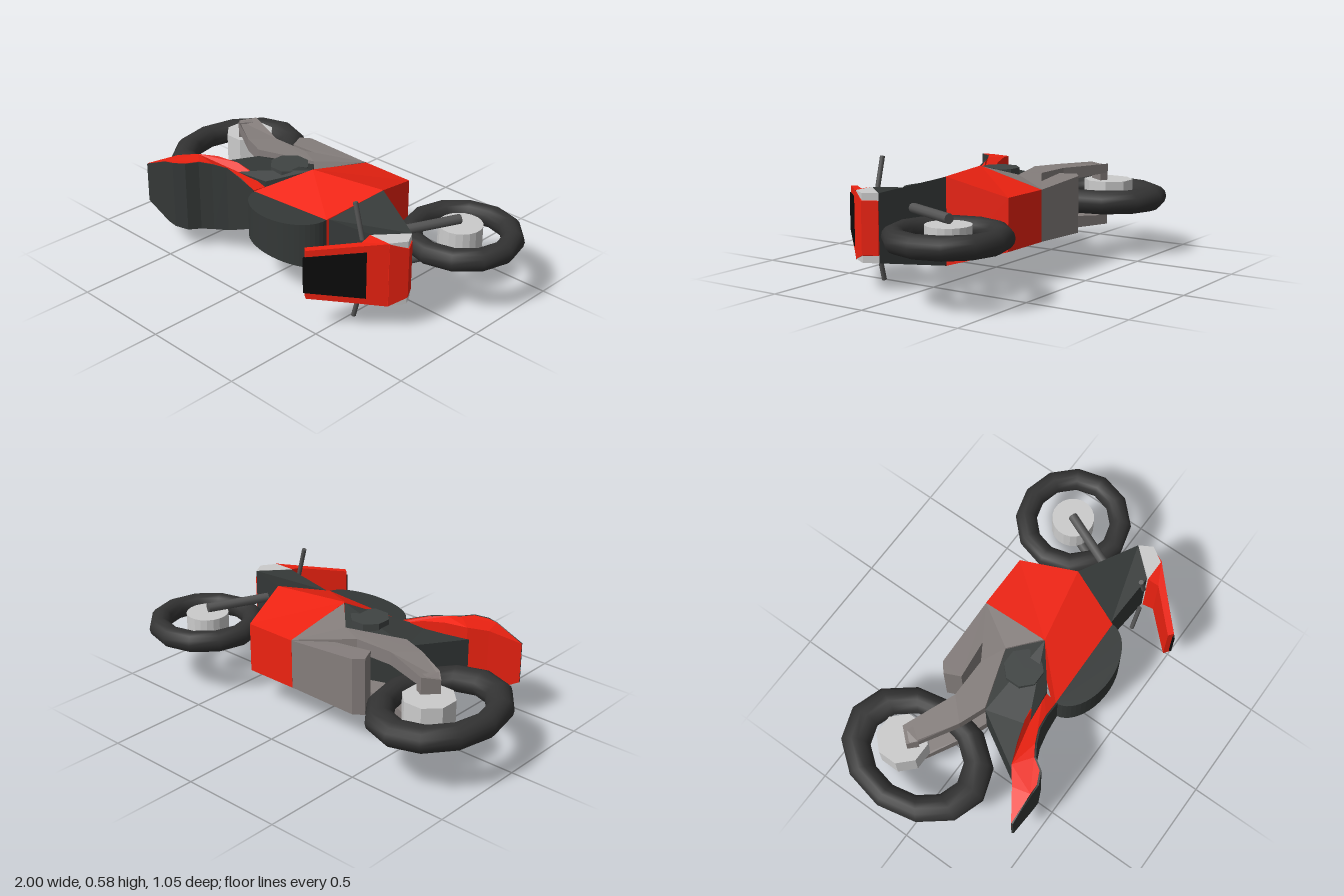
import * as THREE from 'three';

const MID = 0.29; // height of the bike's centre plane as it lies on its side
const mat = (color, flat = true) =>
  new THREE.MeshStandardMaterial({ color, flatShading: flat, side: THREE.DoubleSide });
const RED = mat(0xee2211), DARK = mat(0x343837), BLACK = mat(0x0c0c0c), PALE = mat(0xcccccc);
const METAL = mat(0x857e7c), ROD = mat(0x555555, false), TYRE = mat(0x333333, false), CAP = mat(0x404443);

export function createModel() {
  const model = new THREE.Group();
  model.name = 'motorbike';

  const add = (name, geometry, material) => {
    const mesh = new THREE.Mesh(geometry, material);
    mesh.name = name;
    model.add(mesh);
    return mesh;
  };

  // Slab from an outline of [x, z, top, bottom]; bottom mirrors top unless given
  const slab = (name, outline, material) => {
    let pts = outline.map(([x, z, t, b = -t]) => [x, z, t, b]);
    const flat = p => new THREE.Vector2(p[0], -p[1]);
    if (THREE.ShapeUtils.isClockWise(pts.map(flat))) pts = pts.reverse();
    const n = pts.length, pos = [], index = [];
    for (const p of pts) pos.push(p[0], MID + p[2], p[1]);
    for (const p of pts) pos.push(p[0], MID + p[3], p[1]);
    for (const [a, b, c] of THREE.ShapeUtils.triangulateShape(pts.map(flat), []))
      index.push(a, b, c, n + a, n + c, n + b);
    for (let i = 0; i < n; i++) {
      const j = (i + 1) % n;
      index.push(n + i, n + j, j, n + i, j, i);
    }
    let g = new THREE.BufferGeometry();
    g.setAttribute('position', new THREE.Float32BufferAttribute(pos, 3));
    g.setIndex(index);
    g = g.toNonIndexed();
    g.computeVertexNormals();
    return add(name, g, material);
  };

  // The same slab on both sides of the bike
  const slabPair = (name, outline, material) => {
    slab(name + 'Upper', outline, material);
    slab(name + 'Lower', outline.map(([x, z, t, b]) => [x, z, -b, -t]), material);
  };

  const rod = (name, a, b, radius) => {
    const from = new THREE.Vector3(...a), to = new THREE.Vector3(...b);
    const dir = to.clone().sub(from);
    const mesh = add(name, new THREE.CylinderGeometry(radius, radius, dir.length(), 10), ROD);
    mesh.position.copy(from).add(to).multiplyScalar(0.5);
    mesh.quaternion.setFromUnitVectors(new THREE.Vector3(0, 1, 0), dir.normalize());
  };

  const disc = (name, x, y, z, radius, height, sides, material) => {
    const mesh = add(name, new THREE.CylinderGeometry(radius, radius, height, sides), material);
    mesh.position.set(x, y, z);
    mesh.rotation.y = Math.PI / sides;
  };

  const tyre = (name, x, y, z, ring, tube, stretch) => {
    const g = new THREE.TorusGeometry(ring, tube, 14, 12).rotateX(Math.PI / 2).scale(1, 1, stretch);
    add(name, g, TYRE).position.set(x, y, z);
  };

  // Wheels and hubs
  tyre('rearTyre', -0.697, 0.275, -0.14, 0.244, 0.059, 1.27);
  disc('rearHub', -0.695, 0.29, -0.22, 0.123, 0.144, 8, PALE);
  tyre('frontTyre', 0.707, 0.29, -0.237, 0.235, 0.053, 1);
  disc('frontHub', 0.7, 0.29, -0.235, 0.104, 0.11, 20, PALE);

  // Fork legs and handlebars
  for (const s of [1, -1]) {
    rod('forkLeg', [0.695, MID + s * 0.078, -0.235], [0.55, MID + s * 0.078, 0.1], 0.023);
    rod('handlebar', [0.56, MID + s * 0.12, 0.273], [0.515, MID + s * 0.288, 0.273], 0.0115);
  }

  // Main red body, with a ridge halfway up the flank
  const ridgeBack = [0.045, 0.06, 0.205], ridgeFront = [0.42, -0.015, 0.205];
  const tankFront = [0.325, 0.255, 0.12], tankBack = [-0.145, 0.26, 0.095];
  slab('lowerBody', [[0.06, -0.295, 0.123], [0.335, -0.295, 0.123], ridgeFront, ridgeBack], RED);
  slab('upperBodyFront', [ridgeBack, ridgeFront, tankFront], RED);
  slab('upperBodyBack', [ridgeBack, tankFront, tankBack], RED);

  // Domed tank
  const dome = [];
  for (let i = 0; i <= 24; i++) {
    const a = Math.PI * i / 24, c = Math.cos(a), s = Math.sin(a);
    dome.push([0.09 + 0.235 * c, 0.255 + 0.145 * s, 0.107 + 0.012 * c - 0.012 * s]);
  }
  slab('tank', dome, DARK);

  // Mid frame with round covers
  slab('frame', [[0.045, 0.06, 0.2], [-0.08, -0.08, 0.14], [-0.37, 0.02, 0.12], [-0.53, 0.29, 0.11],
    [-0.315, 0.225, 0.13], [-0.13, 0.2, 0.13]], DARK);
  slab('frameCore', [[0.08, -0.25, 0.08], [0.08, 0.05, 0.1], [-0.1, 0.05, 0.1], [-0.1, -0.1, 0.08]], DARK);
  disc('engineCover', -0.115, MID, 0.055, 0.095, 0.36, 8, CAP);

  // Belly box
  slab('bellyBox', [[-0.345, -0.24, 0.143], [-0.3, -0.278, 0.14], [0.07, -0.295, 0.122],
    [0.07, -0.2, 0.122], [-0.08, -0.19, 0.13], [-0.31, -0.162, 0.143]], METAL);

  // Swing arms, each with an end block reaching in to the hub
  slabPair('swingArmRoot', [[0.06, -0.293, 0.126, 0.06], [0.047, 0.055, 0.203, 0.08],
    [-0.08, -0.075, 0.157, 0.09], [-0.2, -0.13, 0.155, 0.09]], METAL);
  slabPair('swingArm', [[-0.08, -0.075, 0.157, 0.09], [-0.2, -0.13, 0.155, 0.09],
    [-0.4, -0.13, 0.155, 0.09], [-0.66, -0.235, 0.155, 0.11], [-0.72, -0.17, 0.14, 0.11],
    [-0.68, -0.13, 0.155, 0.11], [-0.5, -0.03, 0.155, 0.09], [-0.37, 0.02, 0.155, 0.09]], METAL);
  slabPair('swingArmEnd', [[-0.66, -0.235, 0.15, 0.06], [-0.72, -0.17, 0.135, 0.06],
    [-0.68, -0.13, 0.15, 0.06], [-0.62, -0.215, 0.15, 0.06]], METAL);

  // Tail cowl in red, with a dark seat strip along its upper edge
  const seatLine = [[-0.728, 0.428, 0.1], [-0.58, 0.428, 0.163], [-0.53, 0.428, 0.17], [-0.47, 0.4, 0.178],
    [-0.435, 0.345, 0.18], [-0.38, 0.31, 0.176], [-0.31, 0.279, 0.167], [-0.23, 0.265, 0.137], [-0.145, 0.261, 0.1]];
  slab('tailCowl', [...seatLine, [-0.13, 0.18, 0.1], [-0.23, 0.185, 0.137], [-0.315, 0.205, 0.167],
    [-0.42, 0.24, 0.178], [-0.52, 0.28, 0.17], [-0.6, 0.34, 0.157]], RED);
  slab('seat', [...seatLine.map(([x, z, h]) => [x + 0.004, z + 0.008, h]),
    ...seatLine.map(([x, z, h]) => [x, z - 0.001, h - 0.002]).reverse()], DARK);

  // Front fairing, lamps and nose
  slab('frontFairing', [ridgeFront, [0.72, 0.13, 0.157], [0.6, 0.262, 0.157], [0.33, 0.245, 0.12]], DARK);
  slab('headlamps', [[0.72, 0.13, 0.157], [0.757, 0.195, 0.157], [0.71, 0.268, 0.157], [0.6, 0.268, 0.157]], PALE);
  slab('nosePanel', [[0.715, 0.13, 0.122], [0.725, 0.13, 0.122], [0.763, 0.195, 0.122],
    [0.716, 0.27, 0.155], [0.7, 0.27, 0.155]], RED);

  // Windscreen surround and dark glass
  slab('windscreenFrame', [[0.6, 0.268, 0.157], [0.716, 0.268, 0.157], [0.61, 0.368, 0.142],
    [0.455, 0.518, 0.12], [0.43, 0.5, 0.12], [0.605, 0.325, 0.145]], RED);
  slab('windscreenGlass', [[0.648, 0.339, 0.115], [0.45, 0.53, 0.088], [0.446, 0.522, 0.088], [0.642, 0.333, 0.115]], BLACK);

  return model;
}
